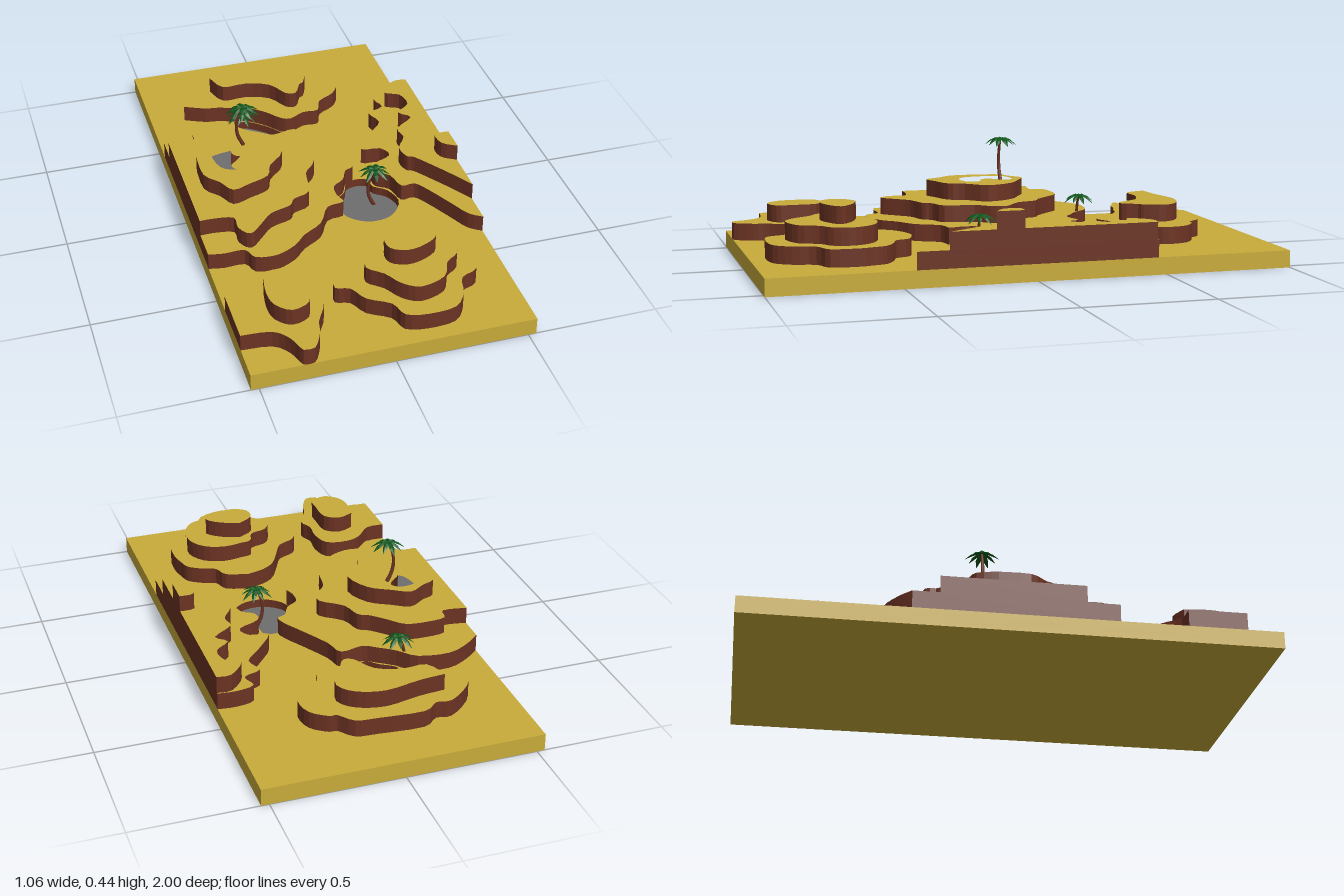
import * as THREE from 'three';

const sand = new THREE.MeshStandardMaterial({ color: 0xc8ab3a });
sand.name = 'sand';
const rock = new THREE.MeshStandardMaterial({ color: 0x6c3323 });
rock.name = 'rock and bark';
const water = new THREE.MeshStandardMaterial({ color: 0x6e6e6e });
water.name = 'grey water';
const leaf = new THREE.MeshStandardMaterial({ color: 0x0c5418, side: THREE.DoubleSide });
leaf.name = 'palm green';

// Contours are x, z pairs in map units: the board is 200 wide and 378 long.
const UNIT = 0.0053;
const W = 0.53;
const TIER = [0.03, 0.066, 0.133, 0.2, 0.266];

// Smooth outline; one that starts on the board's edge is closed straight along it
function outline(flat) {
  const pts = [];
  for (let i = 0; i < flat.length; i += 2) {
    pts.push(new THREE.Vector2(flat[i] * UNIT, -flat[i + 1] * UNIT));
  }
  const onEdge = Math.abs(flat[0]) === 100;
  if (!onEdge) pts.push(pts[0].clone());
  const out = new THREE.SplineCurve(pts).getPoints((pts.length - 1) * 3);
  if (!onEdge) out.pop();
  return out.map((p) => new THREE.Vector2(
    THREE.MathUtils.clamp(p.x, -W, W), THREE.MathUtils.clamp(p.y, -1, 1)));
}

function slab(points, holes, y0, y1) {
  const shape = new THREE.Shape(points);
  shape.holes = holes.map((h) => new THREE.Path(h));
  return new THREE.ExtrudeGeometry(shape, { depth: y1 - y0, bevelEnabled: false })
    .rotateX(-Math.PI / 2).translate(0, y0, 0);
}

const lakes = {
  backLake: [-37, -103, -26, -100, -14, -90, -6, -80, 1, -75, 0, -65, -12, -62, -19, -60,
    -26, -67, -37, -75, -38, -90],
  middleLake: [31, -1, 39, 1, 41, 11, 50, 19, 54, 33, 48, 45, 38, 52, 24, 52, 12, 43,
    8, 30, 9, 20, 18, 13, 23, 2],
};
const crater = [-74, -25, -59, -28, -52, -23, -55, -17, -62, -10, -59, -3, -50, 0, -49, 10,
  -64, 13, -74, 7, -77, -10];

// Each hill lists its contours from the lowest tier upwards
const hills = {
  backHill: [
    [-74, -117, -66, -133, -49, -147, -38, -146, -26, -154, 6, -152, 22, -150, 31, -140,
      37, -139, 48, -130, 51, -115, 44, -103, 31, -95, 26, -83, 14, -83, 2, -77, -6, -81,
      -14, -91, -26, -101, -37, -104, -48, -108, -59, -110],
    [-49, -133, -29, -135, -4, -140, 16, -135, 26, -123, 21, -107, 17, -104, 11, -93,
      3, -95, -6, -110, -24, -117, -42, -117],
  ],
  leftHill: [
    [-100, -71, -89, -80, -72, -88, -49, -85, -37, -73, -26, -65, -16, -59, 1, -62, 6, -47,
      18, -25, 26, -11, 29, -1, 22, 3, 17, 13, 8, 20, 7, 31, 9, 40, -4, 43, -14, 60,
      -29, 70, -39, 80, -54, 87, -69, 85, -74, 75, -89, 75, -100, 73],
    [-100, -52, -82, -50, -79, -60, -64, -62, -49, -60, -39, -50, -29, -40, -21, -35,
      -16, -20, -1, -7, -4, 5, -12, 15, -16, 37, -29, 43, -34, 50, -49, 55, -59, 65,
      -69, 74, -76, 65, -76, 53, -89, 50, -100, 50],
    [-88, -10, -84, -25, -74, -30, -62, -37, -49, -30, -34, -20, -26, 0, -39, 15, -44, 27,
      -59, 33, -72, 37, -79, 25, -88, 13],
  ],
  rightHill: [
    [100, -88, 86, -89, 73, -85, 76, -73, 63, -67, 67, -53, 56, -40, 42, -21, 56, -18,
      60, -7, 44, 1, 43, 11, 52, 18, 56, 33, 66, 33, 73, 43, 84, 65, 91, 79, 100, 86],
    [100, -87, 89, -87, 78, -73, 88, -67, 90, -53, 79, -43, 86, -34, 71, -22, 72, -10,
      64, 3, 66, 15, 71, 18, 84, 37, 91, 48, 100, 63],
    [100, 10, 89, 11, 90, 23, 100, 30],
  ],
  frontHill: [
    [29, 73, 46, 78, 51, 89, 61, 93, 71, 100, 74, 110, 76, 120, 74, 140, 61, 147, 56, 163,
      46, 175, 26, 177, 11, 173, 6, 160, -9, 150, -16, 137, -26, 133, -22, 120, -9, 113,
      -2, 100, 6, 85, 16, 77],
    [26, 102, 41, 100, 56, 106, 64, 120, 61, 135, 51, 143, 44, 157, 26, 163, 14, 156,
      6, 143, -4, 133, 1, 120, 14, 115, 18, 104],
    [24, 112, 38, 117, 48, 127, 38, 135, 24, 138, 13, 132, 13, 120],
  ],
  cornerHill: [
    [-100, 121, -86, 120, -74, 107, -62, 102, -46, 105, -41, 120, -42, 135, -38, 147,
      -46, 163, -49, 175, -56, 188, -64, 188, -69, 175, -79, 165, -100, 163],
    [-74, 125, -62, 120, -51, 127, -50, 145, -51, 157, -64, 162, -74, 153, -76, 140],
  ],
};

// Palm: bowed trunk with a crown of folded, drooping fronds
function makePalm(x, y, z, turn) {
  const palm = new THREE.Group();
  palm.name = 'palm';
  const path = new THREE.CatmullRomCurve3([[0, 0], [-0.02, 0.045], [-0.025, 0.09],
    [-0.016, 0.135], [0, 0.17]].map(([px, py]) => new THREE.Vector3(px, py, 0)));
  const trunkGeo = new THREE.TubeGeometry(path, 12, 0.008, 7, false);
  // Thin the trunk towards the crown
  const pos = trunkGeo.attributes.position;
  const v = new THREE.Vector3();
  for (let i = 0; i < pos.count; i++) {
    const t = Math.floor(i / 8) / 12;
    const c = path.getPointAt(t);
    v.fromBufferAttribute(pos, i).sub(c).multiplyScalar(1 - 0.4 * t).add(c);
    pos.setXYZ(i, v.x, v.y, v.z);
  }
  const trunk = new THREE.Mesh(trunkGeo, rock);
  trunk.name = 'trunk';
  palm.add(trunk);

  // Frond sections: distance out, ridge height, half width
  const sections = [[0, 0, 0.002], [0.02, 0.006, 0.009], [0.042, -0.004, 0.01], [0.066, -0.026, 0.001]];
  const verts = [];
  const index = [];
  sections.forEach(([r, h, w], i) => {
    verts.push(r, h - w * 0.5, -w, r, h, 0, r, h - w * 0.5, w);
    if (i === 0) return;
    for (let k = 0; k < 2; k++) {
      const a = (i - 1) * 3 + k;
      index.push(a, a + 1, a + 3, a + 1, a + 4, a + 3);
    }
  });
  let frondGeo = new THREE.BufferGeometry();
  frondGeo.setAttribute('position', new THREE.Float32BufferAttribute(verts, 3));
  frondGeo.setIndex(index);
  frondGeo = frondGeo.toNonIndexed();
  frondGeo.computeVertexNormals();
  for (let i = 0; i < 9; i++) {
    const frond = new THREE.Mesh(frondGeo, leaf);
    frond.name = 'frond';
    frond.position.y = 0.17;
    frond.rotation.y = (i / 9) * Math.PI * 2 + turn;
    frond.scale.setScalar(i % 2 ? 0.88 : 1);
    palm.add(frond);
  }
  palm.position.set(x, y, z);
  return palm;
}

export function createModel() {
  const model = new THREE.Group();
  model.name = 'desertTerrain';
  const add = (name, geometry, material, parent = model) => {
    const mesh = new THREE.Mesh(geometry, material);
    mesh.name = name;
    parent.add(mesh);
  };

  // Board: solid floor below a slab pierced by the lakes
  add('boardFloor', new THREE.BoxGeometry(W * 2, TIER[0], 2).translate(0, TIER[0] / 2, 0), sand);
  const corners = [[-W, -1], [W, -1], [W, 1], [-W, 1]].map(([x, y]) => new THREE.Vector2(x, y));
  const board = slab(corners, Object.values(lakes).map(outline), TIER[0], TIER[1]);
  // The four outer walls come first among the sides and stay sand; lake banks are rock
  const { start, count } = board.groups[1];
  board.clearGroups();
  board.addGroup(0, start + 24, 0);
  board.addGroup(start + 24, count - 24, 1);
  add('board', board, [sand, rock]);

  // Lake surfaces
  const pool = (name, flat, y) => add(name, new THREE.ShapeGeometry(new THREE.Shape(outline(flat)))
    .rotateX(-Math.PI / 2).translate(0, y + 0.002, 0), water);
  for (const [name, flat] of Object.entries(lakes)) pool(name, flat, TIER[0]);
  pool('craterLake', crater, TIER[3]);

  // Stepped hills, sand on top and rock on the sides
  for (const [name, contours] of Object.entries(hills)) {
    const hill = new THREE.Group();
    hill.name = name;
    contours.forEach((flat, i) => {
      const holes = name === 'leftHill' && i === 2 ? [outline(crater)] : [];
      add('tier' + (i + 1), slab(outline(flat), holes, TIER[i + 1], TIER[i + 2]), [sand, rock], hill);
    });
    model.add(hill);
  }

  // Palms beside each lake
  model.add(makePalm(-0.27, TIER[4], -0.087, 0.2));
  model.add(makePalm(-0.198, TIER[0], -0.4, 0.7));
  model.add(makePalm(0.2, TIER[0], 0.13, 1.1));
  return model;
}
